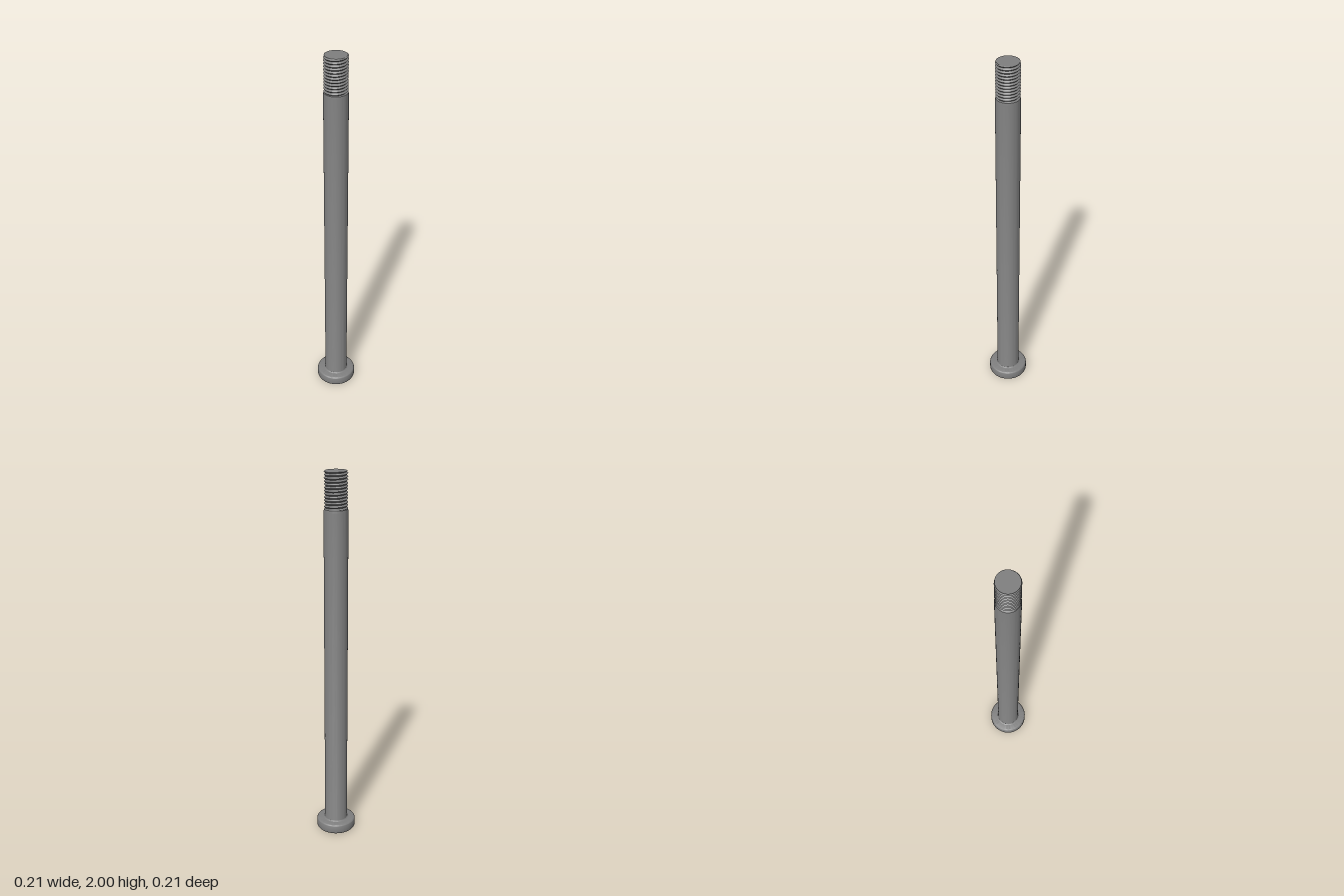
import * as THREE from 'three';
import { toCreasedNormals } from 'three/addons/utils/BufferGeometryUtils.js';

const SEGMENTS = 64;
const THREAD = { bottom: 1.805, top: 2, pitch: 0.0155, crest: 0.06, root: 0.052, tip: 0.057 };

// Turned part from a [radius, height] profile, listed from bottom to top
function turned(name, profile, material) {
  const points = profile.map(([r, y]) => new THREE.Vector2(r, y));
  const mesh = new THREE.Mesh(toCreasedNormals(new THREE.LatheGeometry(points, SEGMENTS), 0.6), material);
  mesh.name = name;
  return mesh;
}

// Quarter circle of profile points about (cx, cy), from angle a to angle b
function arc(cx, cy, radius, a, b, steps = 5) {
  return Array.from({ length: steps + 1 }, (_, i) => {
    const t = a + ((b - a) * i) / steps;
    return [cx + radius * Math.cos(t), cy + radius * Math.sin(t)];
  });
}

// Helical V thread: each flank is its own strip, so crests and roots stay sharp
function threadGeometry() {
  const { bottom, top, pitch, crest, root, tip } = THREAD;
  const positions = [], indices = [];
  const flanks = Math.ceil((2 * (top - bottom)) / pitch);
  const corner = (k, theta) => {
    const y = THREE.MathUtils.clamp(bottom + pitch * (k / 2 + theta / (2 * Math.PI)), bottom, top);
    const r = Math.min(k % 2 === 0 ? crest : root, tip + (top - y));
    return [r * Math.sin(theta), y, r * Math.cos(theta)];
  };
  for (let k = -2; k <= flanks; k++) {
    const start = positions.length / 3;
    for (let i = 0; i <= SEGMENTS; i++) {
      const theta = (i / SEGMENTS) * Math.PI * 2;
      positions.push(...corner(k, theta), ...corner(k + 1, theta));
    }
    for (let i = 0; i < SEGMENTS; i++) {
      const a = start + 2 * i;
      const ys = [a, a + 1, a + 2, a + 3].map((v) => positions[3 * v + 1]);
      if (Math.max(...ys) - Math.min(...ys) < 1e-6) continue;
      indices.push(a, a + 2, a + 1, a + 1, a + 2, a + 3);
    }
  }
  const geometry = new THREE.BufferGeometry();
  geometry.setAttribute('position', new THREE.Float32BufferAttribute(positions, 3));
  geometry.setIndex(indices);
  geometry.computeVertexNormals();
  return geometry;
}

export function createModel() {
  const group = new THREE.Group();
  group.name = 'bolt';
  const steel = new THREE.MeshStandardMaterial({ color: 0x808080 });
  steel.name = 'grey steel';
  const q = Math.PI / 2;

  // Flat round head with softened rims
  group.add(turned('head', [
    [0, 0],
    ...arc(0.095, 0.012, 0.012, -q, 0),
    ...arc(0.095, 0.043, 0.012, 0, q),
    [0.05, 0.055],
  ], steel));

  // Long plain shank, filleted into the head and chamfered below the thread
  group.add(turned('shank', [
    ...arc(0.071, 0.064, 0.009, 3 * q, 2 * q),
    [0.062, 1.8],
    [0.06, 1.813],
    [0.05, 1.818],
  ], steel));

  // Threaded end
  const thread = new THREE.Mesh(threadGeometry(), steel);
  thread.name = 'thread';
  group.add(thread);

  // Flat end face
  const endFace = new THREE.Mesh(new THREE.CircleGeometry(THREAD.tip, SEGMENTS), steel);
  endFace.name = 'endFace';
  endFace.rotation.x = -q;
  endFace.position.y = THREAD.top;
  group.add(endFace);

  return group;
}
